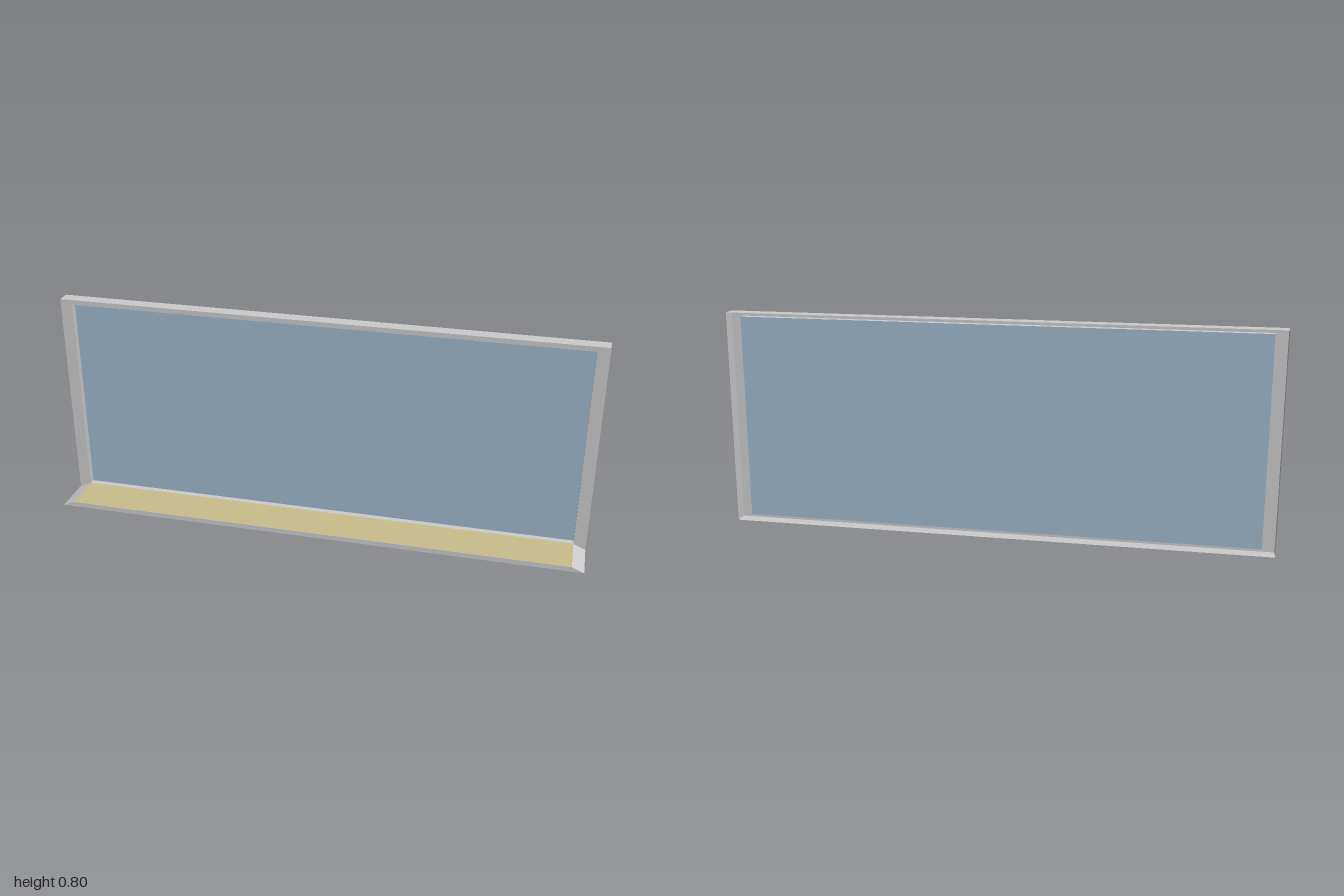
import * as THREE from 'three';

const W = 1, H = 0.8;              // half width and height of the frame
const IN = 0.955, LIP = 0.018;     // half width of the opening, height of its top and bottom rims
const BACK = -0.103, FRONT = -0.053, PANE = -0.078, SILL_FRONT = 0.103;

// Corners of a rectangle, counter-clockwise seen from the front
const rect = (hw, y0, y1) => [[-hw, y0], [hw, y0], [hw, y1], [-hw, y1]];

const shapeOf = (points) => new THREE.Shape(points.map(([x, y]) => new THREE.Vector2(x, y)));

// Four flat walls running along z round a rectangle
function band(points, z0, z1, inward) {
  const pos = [];
  points.forEach(([ax, ay], i) => {
    const [bx, by] = points[(i + 1) % points.length];
    const a = [ax, ay, z0], b = [bx, by, z0], c = [bx, by, z1], d = [ax, ay, z1];
    const order = inward ? [a, c, b, a, d, c] : [a, b, c, a, c, d];
    order.forEach((p) => pos.push(...p));
  });
  const geo = new THREE.BufferGeometry();
  geo.setAttribute('position', new THREE.Float32BufferAttribute(pos, 3));
  geo.computeVertexNormals();
  return geo;
}

export function createModel() {
  const material = (name, color) => {
    const m = new THREE.MeshStandardMaterial({ color, side: THREE.DoubleSide });
    m.name = name;
    return m;
  };
  const grey = material('frameGrey', 0xcccccc);
  const blue = material('glassBlue', 0x9eb8ce);
  const tan = material('sillTan', 0xc9be8c);

  const model = new THREE.Group();
  model.name = 'window';
  const add = (name, geo, mat, parent = model) => {
    const mesh = new THREE.Mesh(geo, mat);
    mesh.name = name;
    parent.add(mesh);
    return mesh;
  };

  // Frame: a shell open at the back, with a recessed opening in its front
  const frame = new THREE.Group();
  frame.name = 'frame';
  model.add(frame);
  const outer = rect(W, 0, H);
  const inner = rect(IN, LIP, H - LIP);
  const face = shapeOf(outer);
  face.holes.push(shapeOf(inner));
  add('frameFace', new THREE.ShapeGeometry(face), grey, frame).position.z = FRONT;
  add('outerWalls', band(outer, BACK, FRONT, false), grey, frame);
  add('openingReveal', band(inner, PANE, FRONT, true), grey, frame);

  // Glass pane halfway into the frame
  add('glassPane', new THREE.ShapeGeometry(shapeOf(inner)), blue).position.z = PANE;

  // Sill with sloping ends
  const depth = SILL_FRONT - FRONT;
  const section = shapeOf([[-W, 0], [W, 0], [IN, 0.019], [-IN, 0.019]]);
  const sillGeo = new THREE.ExtrudeGeometry(section, { depth, bevelEnabled: false });
  add('sill', sillGeo, grey).position.z = FRONT;

  // Coloured top of the sill
  const topGeo = new THREE.PlaneGeometry(2 * IN, depth).rotateX(-Math.PI / 2);
  add('sillTop', topGeo, tan).position.set(0, 0.02, FRONT + depth / 2);

  return model;
}
